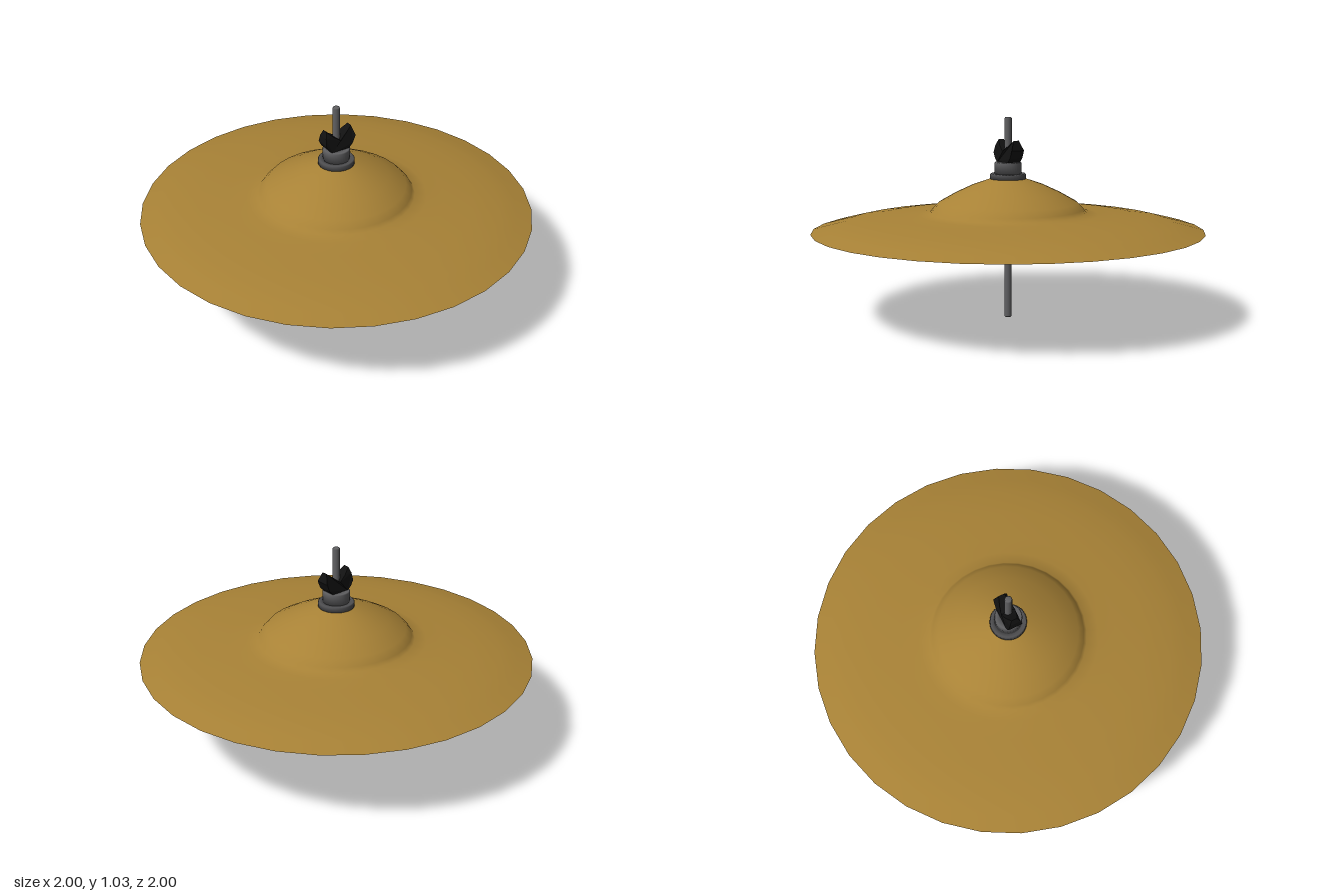
import * as THREE from 'three';

const material = (color) => new THREE.MeshStandardMaterial({ color, side: THREE.DoubleSide });

function lathe(name, profile, segments, mat) {
  const points = profile.map(([r, y]) => new THREE.Vector2(r, y));
  const mesh = new THREE.Mesh(new THREE.LatheGeometry(points, segments), mat);
  mesh.name = name;
  return mesh;
}

// Closed ring with a bevelled top edge
function ring(name, inner, outer, y0, y1, mat) {
  const b = 0.005;
  return lathe(name, [
    [inner, y0], [outer, y0], [outer, y1 - b], [outer - b, y1], [inner, y1], [inner, y0],
  ], 32, mat);
}

export function createModel() {
  const model = new THREE.Group();
  model.name = 'cymbal';
  const brass = material(0xa88236);
  const steel = material(0x606062);
  const darkSteel = material(0x505052);
  const black = material(0x111111);

  // Thin sheet: domed bell, shallow bow and drooping rim
  model.add(lathe('cymbalPlate', [
    [1, 0.455], [0.92, 0.476], [0.835, 0.497], [0.7, 0.515], [0.55, 0.528], [0.46, 0.536],
    [0.4, 0.545], [0.385, 0.565], [0.355, 0.597], [0.27, 0.645], [0.18, 0.687], [0.09, 0.718], [0.065, 0.722],
  ], 32, brass));

  // Washer and sleeve clamped on the bell
  model.add(ring('washer', 0.058, 0.092, 0.714, 0.745, darkSteel));
  model.add(ring('sleeve', 0.02, 0.069, 0.743, 0.803, steel));

  // Upright rod with small chamfers at both ends
  model.add(lathe('rod', [
    [0, 0], [0.015, 0], [0.019, 0.004], [0.019, 1.024], [0.015, 1.03], [0, 1.03],
  ], 16, steel));

  // Wing nut: notched outline, thinned towards the wing tips
  const outline = [
    [-0.045, 0.8], [0.05, 0.8], [0.075, 0.827], [0.09, 0.865], [0.076, 0.915],
    [0.038, 0.885], [0.004, 0.858], [-0.034, 0.885], [-0.066, 0.915], [-0.076, 0.885], [-0.08, 0.848], [-0.066, 0.82],
  ];
  const shape = new THREE.Shape(outline.map(([x, y]) => new THREE.Vector2(x, y)));
  const wings = new THREE.ExtrudeGeometry(shape, { depth: 0.074, bevelEnabled: false });
  wings.translate(0, 0, -0.037);
  const p = wings.attributes.position;
  for (let i = 0; i < p.count; i++) {
    const t = THREE.MathUtils.clamp((p.getY(i) - 0.865) / 0.05, 0, 1);
    p.setZ(i, p.getZ(i) * (1 - 0.6 * t));
  }
  wings.computeVertexNormals();
  const nut = new THREE.Mesh(wings, black);
  nut.name = 'wingNut';
  model.add(nut);

  return model;
}
